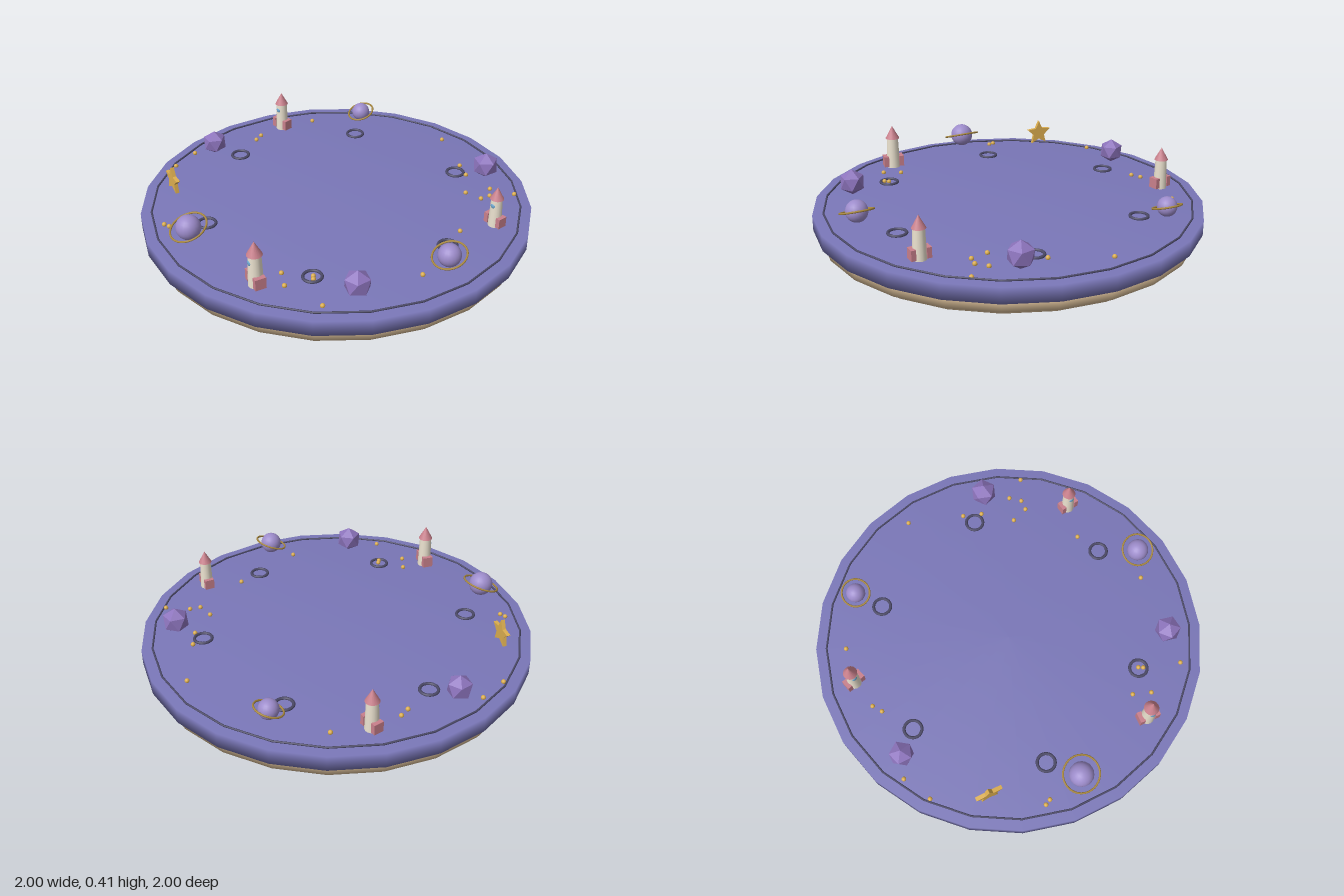
import * as THREE from 'three';

const TOP = 0.168;
const mat = (color, extra = {}) => new THREE.MeshStandardMaterial({ color, ...extra });
const M = {
  blue: mat(0x7a77b8), tan: mat(0xdcc09a), dark: mat(0x4b4966),
  lavender: mat(0x9d8ccb), rock: mat(0x8d74bd, { flatShading: true }),
  gold: mat(0xdcae50), ring: mat(0xa88840), cream: mat(0xebe2cf),
  pink: mat(0xc9808c), glass: mat(0x6fa8d0),
};

function add(parent, name, geometry, material, x = 0, y = 0, z = 0) {
  const mesh = new THREE.Mesh(geometry, material);
  mesh.name = name;
  mesh.position.set(x, y, z);
  parent.add(mesh);
  return mesh;
}

// Closed 24-sided disc with softly blended rim normals
function disc(r, y0, y1) {
  const profile = [[0, y0], [r, y0], [r, y1], [0, y1]].map(p => new THREE.Vector2(...p));
  return new THREE.LatheGeometry(profile, 24);
}

function flatRing(r, tube, segments) {
  return new THREE.TorusGeometry(r, tube, 8, segments).rotateX(Math.PI / 2);
}

// Sphere with a tilted ring
function planet(x, y, z, r, ringR) {
  const g = new THREE.Group();
  g.name = 'planet';
  g.position.set(x, y, z);
  add(g, 'planetBall', new THREE.SphereGeometry(r, 20, 14), M.lavender);
  add(g, 'planetRing', flatRing(ringR, 0.005, 32), M.ring).rotation.x = 0.35;
  return g;
}

// Tapered body, nose cone, porthole and two side fins
function rocket(x, z, scale, yaw) {
  const g = new THREE.Group();
  g.name = 'rocket';
  g.position.set(x, TOP, z);
  g.rotation.y = yaw;
  g.scale.setScalar(scale);
  add(g, 'rocketBody', new THREE.CylinderGeometry(0.031, 0.037, 0.168, 16), M.cream, 0, 0.084, 0);
  add(g, 'rocketNose', new THREE.ConeGeometry(0.038, 0.07, 16), M.pink, 0, 0.202, 0);
  add(g, 'rocketWindow', new THREE.SphereGeometry(0.016, 12, 8), M.glass, 0, 0.13, 0.026).scale.z = 0.6;
  for (const s of [-1, 1]) {
    add(g, 'rocketFin', new THREE.BoxGeometry(0.026, 0.058, 0.055), M.pink, s * 0.042, 0.036, 0);
  }
  return g;
}

function starGeometry(outer, inner, depth) {
  const points = [];
  for (let i = 0; i < 10; i++) {
    const a = Math.PI / 2 + i * Math.PI / 5, r = i % 2 ? inner : outer;
    points.push(new THREE.Vector2(r * Math.cos(a), r * Math.sin(a)));
  }
  return new THREE.ExtrudeGeometry(new THREE.Shape(points), { depth, bevelEnabled: false })
    .translate(0, 0, -depth / 2);
}

export function createModel() {
  const root = new THREE.Group();
  root.name = 'spacePlate';

  // Stepped base and top plate
  add(root, 'foot', disc(0.92, 0, 0.03), M.tan);
  add(root, 'baseBoard', disc(0.965, 0.03, 0.088), M.tan);
  add(root, 'plate', disc(1, 0.088, TOP), M.blue);
  add(root, 'rimLine', flatRing(0.945, 0.005, 24), M.dark, 0, 0.173, 0);

  // Six craters evenly around the plate
  for (let i = 0; i < 6; i++) {
    const a = -0.205 + i * Math.PI / 3;
    add(root, 'crater', flatRing(0.045, 0.008, 24), M.dark, 0.688 * Math.cos(a), 0.171, 0.688 * Math.sin(a));
  }

  // Ringed planets
  root.add(planet(0.82, 0.26, 0, 0.056, 0.083));
  root.add(planet(-0.12, 0.265, 0.81, 0.062, 0.093));
  root.add(planet(-0.54, 0.246, -0.625, 0.05, 0.072));

  // Rockets
  root.add(rocket(0.34, 0.745, 1, -0.17));
  root.add(rocket(-0.79, -0.235, 0.94, 0.15));
  root.add(rocket(0.69, -0.45, 0.91, 0));

  // Faceted rocks, one corner pointing up
  const rocks = [[0.34, -0.75, 0.07, 0.2], [-0.79, 0.23, 0.066, 0.5], [0.69, 0.44, 0.069, 0.9]];
  for (const [x, z, r, spin] of rocks) {
    const geo = new THREE.IcosahedronGeometry(r, 0).rotateX(-Math.atan((1 + Math.sqrt(5)) / 2)).rotateY(spin);
    add(root, 'rock', geo, M.rock, x, TOP + r, z);
  }

  // Upright star
  add(root, 'star', starGeometry(0.073, 0.034, 0.02), M.gold, -0.545, 0.262, 0.64).rotation.y = -0.13;

  // Scattered gold beads
  const beads = [
    [-0.085, -0.85], [0.185, -0.72], [0.275, -0.675], [0.455, -0.67], [0.5, -0.62], [0.4, -0.545],
    [0.49, -0.565], [0.57, -0.73], [-0.735, -0.415], [0.63, -0.27], [-0.78, -0.075], [-0.755, -0.025],
    [-0.845, 0.33], [-0.79, 0.485], [-0.335, 0.825], [-0.305, 0.815], [0.77, 0.115], [0.35, 0.61],
    [0.435, 0.655], [0.655, 0.61], [0.46, 0.51], [0.48, 0.525],
  ];
  const beadGeo = new THREE.SphereGeometry(0.012, 10, 8);
  for (const [x, z] of beads) add(root, 'bead', beadGeo, M.gold, x, 0.174, z);

  return root;
}
